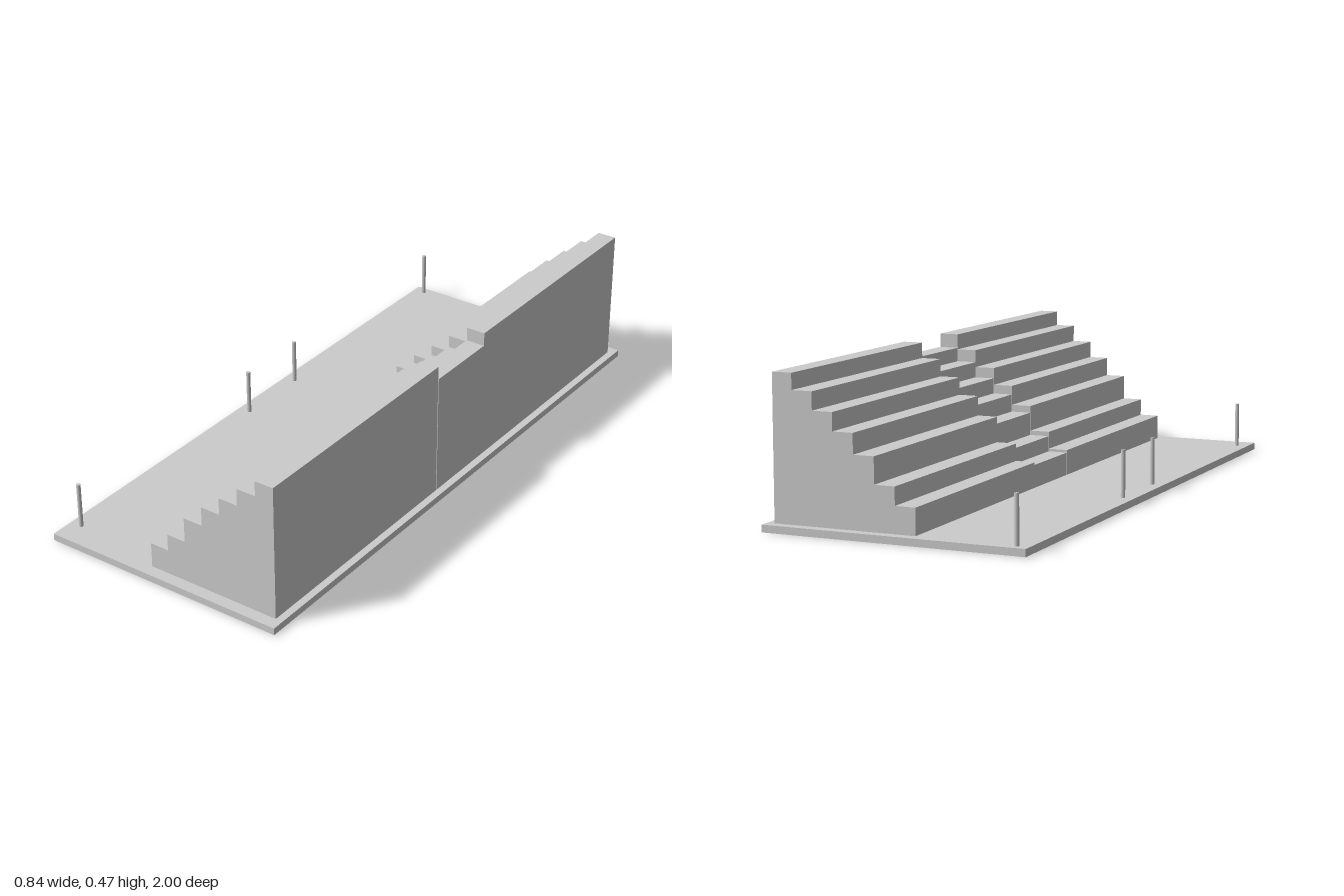
import * as THREE from 'three';

const BASE_TOP = 0.023;
// tier edges along x, and the height of each tier
const EDGES = [-0.064, 0.001, 0.067, 0.134, 0.2, 0.266, 0.332, 0.396];
const TOPS = [0.105, 0.161, 0.243, 0.306, 0.362, 0.418, 0.468];

export function createModel() {
  const group = new THREE.Group();
  const material = new THREE.MeshStandardMaterial({ color: 0xcccccc });

  function add(name, geometry, x, y, z) {
    const mesh = new THREE.Mesh(geometry, material);
    mesh.name = name;
    mesh.position.set(x, y, z);
    group.add(mesh);
  }

  // stepped side profile extruded along z; scale lowers the steps
  function addSteps(name, z0, z1, scale) {
    const shape = new THREE.Shape();
    shape.moveTo(EDGES[0], 0);
    shape.lineTo(EDGES[7], 0);
    for (let i = TOPS.length - 1; i >= 0; i--) {
      const y = (TOPS[i] - BASE_TOP) * scale;
      shape.lineTo(EDGES[i + 1], y);
      shape.lineTo(EDGES[i], y);
    }
    shape.closePath();
    const geometry = new THREE.ExtrudeGeometry(shape, { depth: z1 - z0, bevelEnabled: false });
    add(name, geometry, 0, BASE_TOP, z0);
  }

  // ground slab
  add('base', new THREE.BoxGeometry(0.84, BASE_TOP, 2), 0, BASE_TOP / 2, 0);

  // two seating blocks with a lower stairway between them
  addSteps('rearSeating', -0.967, -0.136, 1);
  addSteps('aisleStairs', -0.136, 0.122, 0.9);
  addSteps('frontSeating', 0.125, 0.96, 1);

  // posts along the open edge
  const height = 0.173 - BASE_TOP;
  for (const z of [-0.973, -0.177, 0.076, 0.918]) {
    add('post', new THREE.CylinderGeometry(0.007, 0.007, height, 12), -0.381, BASE_TOP + height / 2, z);
  }
  return group;
}
